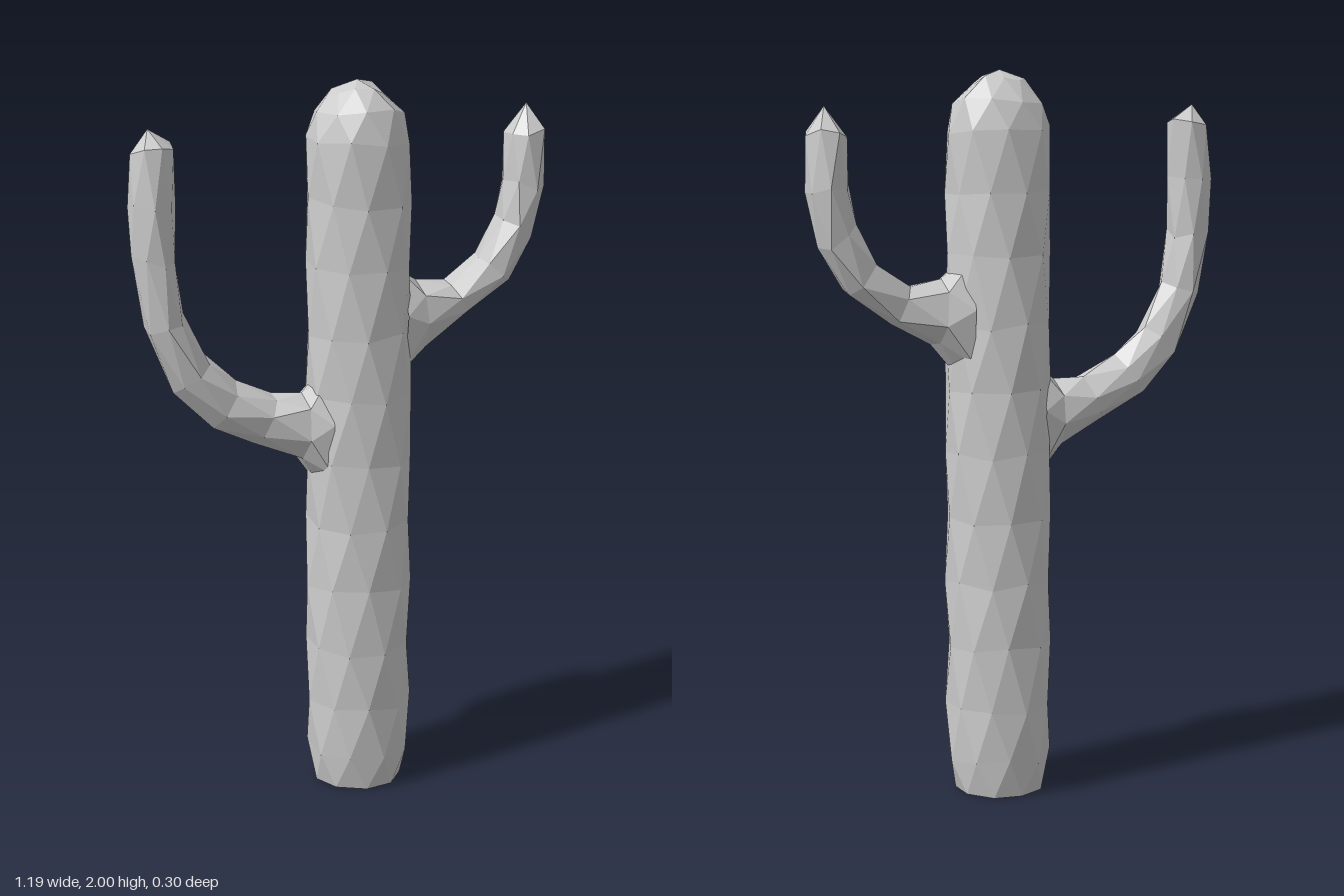
import * as THREE from 'three';

const material = new THREE.MeshStandardMaterial({ color: 0xcccccc, flatShading: true, side: THREE.DoubleSide });

// Small seeded generator for the hand-cut unevenness
function makeRandom(seed) {
  return () => {
    seed = (seed * 16807) % 2147483647;
    return seed / 2147483647 - 0.5;
  };
}

// Skin a row of elliptical rings. Each ring is [outerX, outerY, innerX, innerY, halfDepth];
// every ring is turned half a step so the facets interlock.
function loft(name, rings, { sides, dir = 1, tip, base, jitter = 0.008, seed = 7 }) {
  const random = makeRandom(seed);
  const pos = [], index = [];
  rings.forEach(([ox, oy, ix, iy, depth], r) => {
    for (let j = 0; j < sides; j++) {
      const a = ((j + r * 0.5) / sides) * Math.PI * 2;
      const c = Math.cos(a) / 2;
      const along = r === 0 ? 0 : random() * jitter * 3;
      pos.push(
        (ox + ix) / 2 + (ox - ix) * c + random() * jitter,
        (oy + iy) / 2 + (oy - iy) * c + along,
        dir * depth * Math.sin(a) + random() * jitter
      );
    }
  });
  for (let r = 0; r < rings.length - 1; r++) {
    for (let j = 0; j < sides; j++) {
      const k = (j + 1) % sides, a = r * sides, b = a + sides;
      index.push(a + j, a + k, b + j, a + k, b + k, b + j);
    }
  }
  // Closing fans
  const cap = (point, start, flip) => {
    const p = pos.length / 3;
    pos.push(...point);
    for (let j = 0; j < sides; j++) {
      const k = (j + 1) % sides;
      if (flip) index.push(start + k, start + j, p);
      else index.push(start + j, start + k, p);
    }
  };
  if (tip) cap(tip, (rings.length - 1) * sides, false);
  if (base) cap(base, 0, true);

  const geometry = new THREE.BufferGeometry();
  geometry.setAttribute('position', new THREE.Float32BufferAttribute(pos, 3));
  geometry.setIndex(index);
  const flat = geometry.toNonIndexed();
  flat.computeVertexNormals();
  const mesh = new THREE.Mesh(flat, material);
  mesh.name = name;
  return mesh;
}

export function createModel() {
  const group = new THREE.Group();
  group.name = 'cactus';

  // Trunk: [height, radius]
  const trunkRings = [
    [0, 0.122], [0.1, 0.142], [0.24, 0.147], [0.42, 0.146], [0.6, 0.147], [0.78, 0.146], [0.96, 0.147],
    [1.14, 0.147], [1.32, 0.148], [1.5, 0.146], [1.68, 0.145], [1.84, 0.143], [1.92, 0.122], [1.975, 0.07]
  ].map(([y, r]) => [0.045 - r, y, 0.045 + r, y, r]);
  group.add(loft('trunk', trunkRings, { sides: 9, tip: [0.04, 2, 0], base: [0.045, 0, 0], seed: 11 }));

  // Long low arm on the right
  group.add(loft('rightArm', [
    [-0.06, 0.87, -0.06, 1.21, 0.105],
    [-0.13, 0.975, -0.12, 1.155, 0.085],
    [-0.26, 1.03, -0.2, 1.15, 0.065],
    [-0.39, 1.09, -0.31, 1.2, 0.06],
    [-0.49, 1.2, -0.39, 1.28, 0.065],
    [-0.56, 1.36, -0.455, 1.4, 0.068],
    [-0.595, 1.56, -0.475, 1.54, 0.068],
    [-0.6, 1.7, -0.475, 1.7, 0.068],
    [-0.59, 1.85, -0.472, 1.85, 0.062]
  ], { sides: 7, tip: [-0.54, 1.9, -0.01], seed: 23 }));

  // Short high arm on the left
  group.add(loft('leftArm', [
    [0.15, 1.15, 0.15, 1.5, 0.105],
    [0.23, 1.26, 0.215, 1.435, 0.085],
    [0.36, 1.325, 0.31, 1.435, 0.062],
    [0.49, 1.41, 0.4, 1.5, 0.06],
    [0.56, 1.53, 0.455, 1.6, 0.066],
    [0.595, 1.68, 0.47, 1.7, 0.07],
    [0.592, 1.84, 0.478, 1.84, 0.065]
  ], { sides: 7, dir: -1, tip: [0.54, 1.91, 0], seed: 31 }));

  return group;
}
